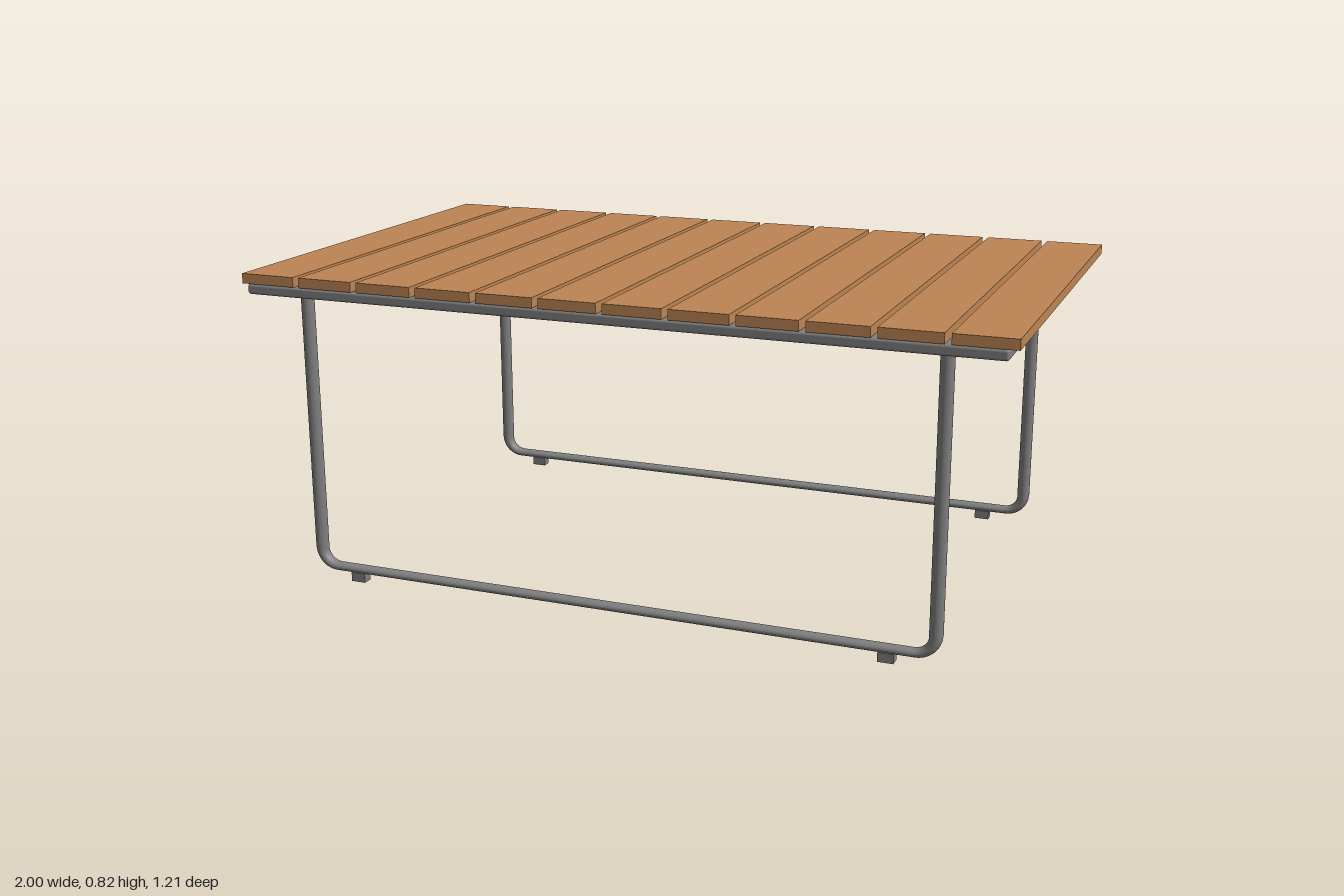
import * as THREE from 'three';
import { RoundedBoxGeometry } from 'three/addons/geometries/RoundedBoxGeometry.js';
import { ParametricGeometry } from 'three/addons/geometries/ParametricGeometry.js';

const wood = new THREE.MeshStandardMaterial({ color: 0xbd8453 });
wood.name = 'wood';
const metal = new THREE.MeshStandardMaterial({ color: 0x808080, side: THREE.DoubleSide });
metal.name = 'metal';

function add(parent, name, geometry, material, x, y, z) {
  const mesh = new THREE.Mesh(geometry, material);
  mesh.name = name;
  mesh.position.set(x, y, z);
  parent.add(mesh);
  return mesh;
}

// U-shaped centre line with rounded corners: [x, y, normal angle, in-plane half thickness]
function legPath() {
  const X = 0.836, TOP = 0.78, BAR = 0.031, R = 0.05, STEPS = 8;
  const half = [[0, BAR, -Math.PI / 2, 0.011]];
  for (let i = 0; i <= STEPS; i++) {
    const t = i / STEPS, a = -Math.PI / 2 + t * Math.PI / 2;
    half.push([X - R + R * Math.cos(a), BAR + R + R * Math.sin(a), a, 0.011 + 0.006 * t]);
  }
  half.push([X, TOP, 0, 0.017]);
  const mirrored = half.slice(1).reverse().map(([x, y, a, h]) => [-x, y, -Math.PI - a, h]);
  return [...mirrored, ...half];
}

// Oval tube that flattens along the floor bar
function legGeometry() {
  const path = legPath();
  const n = path.length - 1;
  return new ParametricGeometry((u, v, target) => {
    const [x, y, a, h] = path[Math.round(v * n)];
    const c = Math.cos(u * Math.PI * 2) * h, s = Math.sin(u * Math.PI * 2) * 0.017;
    target.set(x + Math.cos(a) * c, y + Math.sin(a) * c, -s);
  }, 24, n);
}

export function createModel() {
  const table = new THREE.Group();
  table.name = 'slattedTable';

  // Tabletop slats
  const COUNT = 12, GAP = 0.016, WIDTH = (2 - GAP * (COUNT - 1)) / COUNT;
  const slat = new THREE.BoxGeometry(WIDTH, 0.026, 1.206);
  for (let i = 0; i < COUNT; i++) {
    add(table, 'slat', slat, wood, -1 + WIDTH / 2 + i * (WIDTH + GAP), 0.808, 0);
  }

  // Metal base, set slightly off the centre of the slats
  const base = new THREE.Group();
  base.name = 'base';
  base.position.set(-0.006, 0, 0.003);
  table.add(base);
  add(base, 'underPlate', new RoundedBoxGeometry(1.964, 0.027, 1.196, 3, 0.007), metal, 0, 0.7805, 0);

  // Two sled legs, each with a pair of feet
  const leg = legGeometry();
  const foot = new THREE.BoxGeometry(0.04, 0.024, 0.027);
  for (const side of [1, -1]) {
    add(base, side > 0 ? 'frontLeg' : 'backLeg', leg, metal, 0, 0, side * 0.547);
    for (const x of [-0.72, 0.72]) {
      add(base, 'foot', foot, metal, x, 0.012, side * 0.547 + 0.004);
    }
  }
  return table;
}
